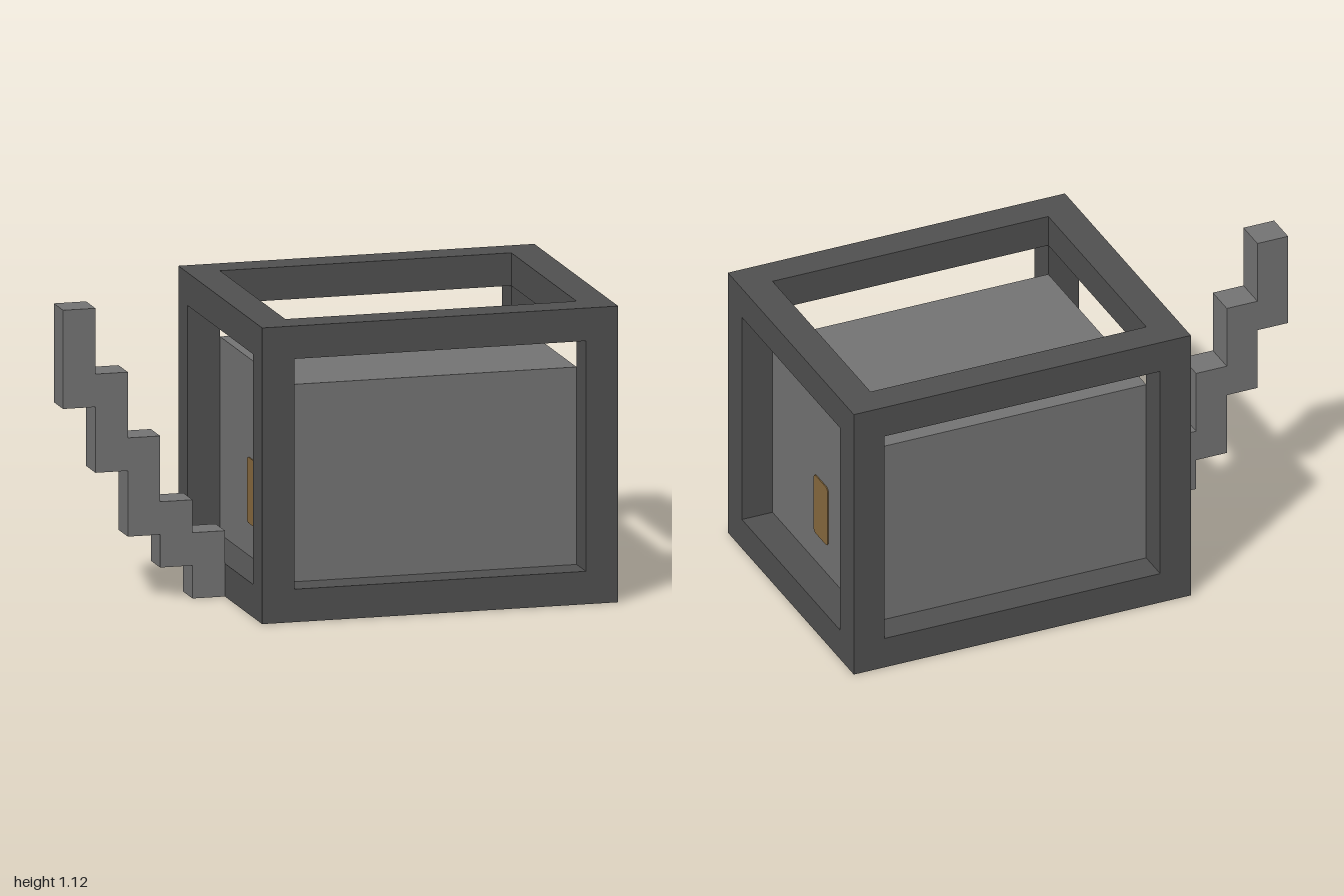
import * as THREE from 'three';

const T = 0.125; // bar thickness
const X0 = -0.375, X1 = 1, H = 1.125, Z = 0.5625; // outer size of the cage

const mat = (name, color) => {
  const m = new THREE.MeshStandardMaterial({ color });
  m.name = name;
  return m;
};

function add(parent, name, geometry, material, x = 0, y = 0, z = 0) {
  const mesh = new THREE.Mesh(geometry, material);
  mesh.name = name;
  mesh.position.set(x, y, z);
  parent.add(mesh);
  return mesh;
}

function rect(x0, y0, x1, y1) {
  return [[x0, y0], [x1, y0], [x1, y1], [x0, y1]].map(p => new THREE.Vector2(...p));
}

// Upright plate with softened corners, facing +z
function roundedPlate(w, h, r, depth) {
  const s = new THREE.Shape(), a = w / 2, b = h / 2;
  s.absarc(a - r, b - r, r, 0, Math.PI / 2);
  s.absarc(-a + r, b - r, r, Math.PI / 2, Math.PI);
  s.absarc(-a + r, -b + r, r, Math.PI, Math.PI * 1.5);
  s.absarc(a - r, -b + r, r, Math.PI * 1.5, Math.PI * 2);
  return new THREE.ExtrudeGeometry(s, { depth, bevelEnabled: false, curveSegments: 4 });
}

export function createModel() {
  const model = new THREE.Group();
  model.name = 'cagedBlock';
  const dark = mat('dark grey', 0x505050);
  const grey = mat('mid grey', 0x747474);
  const brown = mat('ochre brown', 0x886a3e);

  // Cage: a rectangular ring at the bottom and top, joined by four posts
  const frame = new THREE.Group();
  frame.name = 'frame';
  model.add(frame);
  const outline = new THREE.Shape(rect(X0, -Z, X1, Z));
  outline.holes.push(new THREE.Path(rect(X0 + T, -Z + T, X1 - T, Z - T)));
  const ring = new THREE.ExtrudeGeometry(outline, { depth: T, bevelEnabled: false });
  ring.rotateX(-Math.PI / 2);
  add(frame, 'bottomRing', ring, dark);
  add(frame, 'topRing', ring, dark, 0, H - T, 0);
  const post = new THREE.BoxGeometry(T, H - 2 * T, T);
  for (const x of [X0 + T / 2, X1 - T / 2])
    for (const z of [-Z + T / 2, Z - T / 2]) add(frame, 'post', post, dark, x, H / 2, z);

  // Solid block held inside the cage, open gap above it
  const cx = (X0 + X1) / 2, w = X1 - X0 - 2 * T;
  add(model, 'innerBlock', new THREE.BoxGeometry(w, 0.75, 2 * (Z - T)), grey, cx, 0.5, 0);

  // Painted patch on each end of the block
  const patch = roundedPlate(0.125, 0.25, 0.018, 0.004);
  for (const side of [-1, 1]) {
    const p = add(model, 'patch', patch, brown, cx + side * w / 2, 0.375, 0);
    p.rotation.y = side * Math.PI / 2;
  }

  // Stepped arm: [bottom, top] of each column from the tip to the cage
  const columns = [[0.75, 1.125], [0.5, 0.875], [0.25, 0.625], [0.125, 0.375], [0, 0.25]];
  const lower = [], upper = [];
  columns.forEach(([b, t], i) => {
    const x = -1 + i * T;
    lower.push(new THREE.Vector2(x, b), new THREE.Vector2(x + T, b));
    upper.push(new THREE.Vector2(x, t), new THREE.Vector2(x + T, t));
  });
  const arm = new THREE.ExtrudeGeometry(new THREE.Shape([...lower, ...upper.reverse()]), {
    depth: T, bevelEnabled: false,
  });
  add(model, 'steppedArm', arm, grey, 0, 0, -T / 2);

  return model;
}
